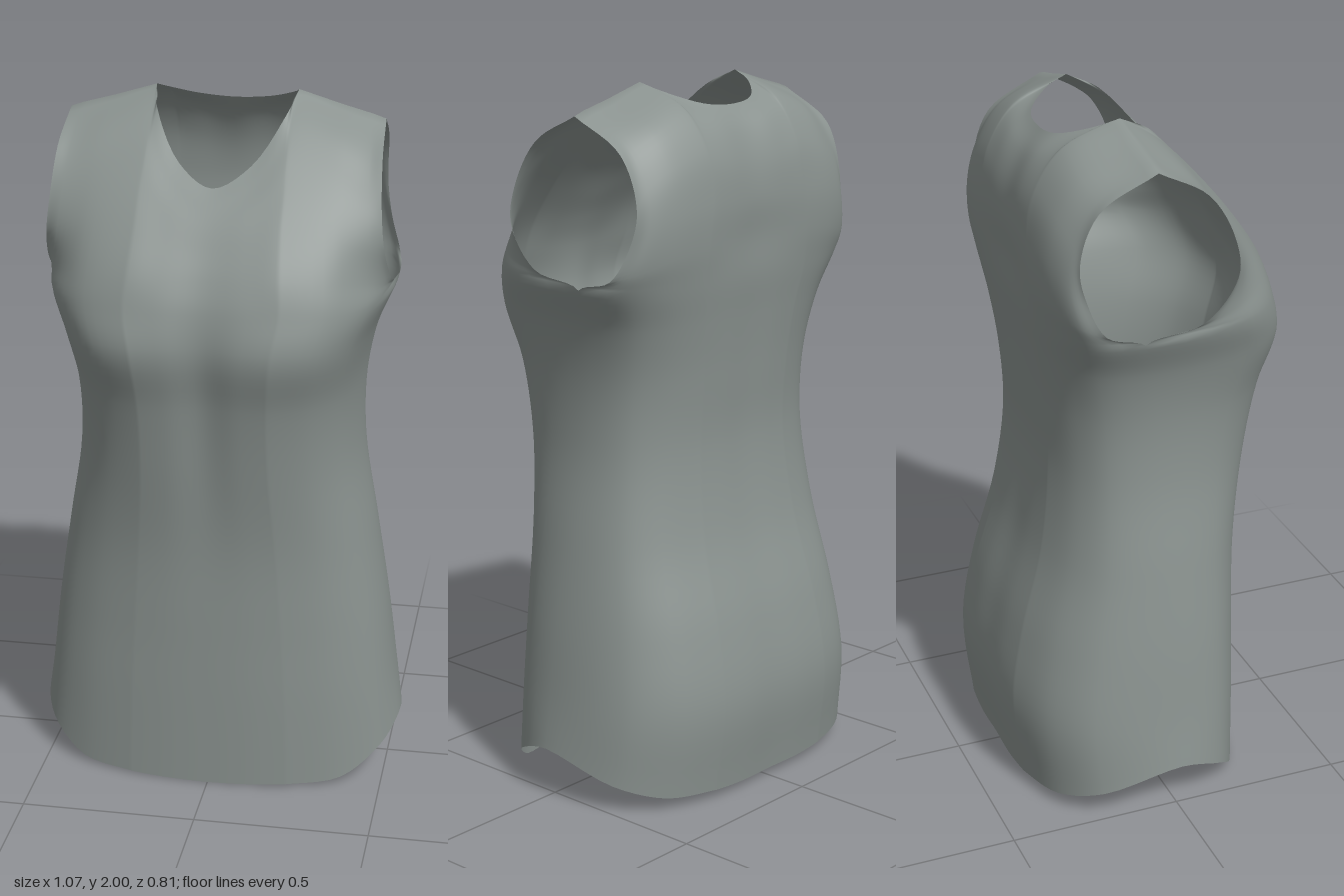
import * as THREE from 'three';
import { mergeVertices } from 'three/addons/utils/BufferGeometryUtils.js';

// Column positions from the centre line (0) to the side seam (1)
const F = [0, 0.225, 0.41, 0.45, 0.72, 0.92, 1];

// Body sections: y, half width, seam z, front z, front centre dip, back z, front and back squareness
const BODY = [
  [0.00, 0.535, 0.00, 0.285, 0.000, -0.388, 2.4, 2.8],
  [0.28, 0.515, 0.00, 0.290, 0.000, -0.416, 2.4, 2.8],
  [0.50, 0.488, 0.00, 0.293, 0.000, -0.382, 2.4, 2.7],
  [0.75, 0.450, -0.01, 0.308, 0.010, -0.312, 2.4, 2.6],
  [1.00, 0.410, -0.02, 0.355, 0.035, -0.280, 2.4, 2.6],
  [1.20, 0.408, -0.03, 0.392, 0.045, -0.290, 2.6, 2.6],
  [1.36, 0.437, -0.06, 0.427, 0.047, -0.305, 3.0, 2.8],
  [1.475, 0.485, -0.10, 0.398, 0.030, -0.318, 3.0, 3.0],
];
const HEM = {
  front: [0.005, 0.007, 0.01, 0.012, 0.025, 0.10, 0.15],
  back: [0.03, 0.03, 0.033, 0.035, 0.045, 0.085, 0.15],
};

// Yoke above the underarm: y, z up each column, ending at neckline or shoulder
const YOKE = {
  front: [
    [1.56, 0.335, 1.63, 0.295, 1.69, 0.257, 1.74, 0.218, 1.775, 0.185],
    [1.56, 0.345, 1.65, 0.290, 1.72, 0.240, 1.78, 0.187, 1.83, 0.140],
    [1.57, 0.345, 1.68, 0.275, 1.79, 0.187, 1.89, 0.095, 1.955, 0.030],
    [1.57, 0.342, 1.69, 0.265, 1.81, 0.168, 1.925, 0.055, 2.00, -0.060],
    [1.56, 0.295, 1.68, 0.235, 1.79, 0.158, 1.89, 0.070, 1.965, -0.055],
    [1.53, 0.190, 1.64, 0.200, 1.74, 0.166, 1.85, 0.090, 1.942, -0.050],
    [1.51, 0.070, 1.62, 0.170, 1.72, 0.165, 1.85, 0.092, 1.93, -0.050],
  ],
  back: [
    [1.58, -0.312, 1.69, -0.318, 1.79, -0.303, 1.87, -0.268, 1.935, -0.215],
    [1.58, -0.318, 1.69, -0.322, 1.80, -0.307, 1.89, -0.265, 1.945, -0.200],
    [1.58, -0.322, 1.70, -0.323, 1.82, -0.300, 1.92, -0.235, 1.980, -0.120],
    [1.58, -0.322, 1.70, -0.322, 1.83, -0.295, 1.94, -0.215, 2.00, -0.060],
    [1.56, -0.307, 1.68, -0.312, 1.80, -0.285, 1.90, -0.215, 1.965, -0.055],
    [1.53, -0.265, 1.64, -0.285, 1.75, -0.268, 1.86, -0.200, 1.942, -0.050],
    [1.51, -0.205, 1.60, -0.248, 1.70, -0.262, 1.84, -0.210, 1.93, -0.050],
  ],
};
const YOKE_X = { front: [0.482, 0.468, 0.458, 0.449, 0.442], back: [0.475, 0.445, 0.430, 0.435, 0.442] };

const ROW_STEPS = 6, COL_STEPS = 5;
const LOWER = (BODY.length - 1) * ROW_STEPS;
const TOP = LOWER + 5 * ROW_STEPS;

// Vertical guide curve for one column of the front or back
function columnCurve(side, k) {
  const f = F[k], front = side === 'front';
  const points = BODY.map(([y, w, seam, zf, dip, zb, nf, nb], i) => {
    const n = front ? nf : nb;
    const round = Math.pow(Math.max(0, 1 - Math.pow(f, n)), 1 / n);
    const groove = (front ? dip : -0.008) * Math.pow(Math.max(0, 1 - f / 0.6), 1.3);
    const z = seam + ((front ? zf : zb) - seam) * round - groove;
    return new THREE.Vector3(f * w, i === 0 ? HEM[side][k] : y, z);
  });
  const yoke = YOKE[side][k];
  YOKE_X[side].forEach((w, i) => points.push(new THREE.Vector3(f * w, yoke[2 * i], yoke[2 * i + 1])));
  return new THREE.CatmullRomCurve3(points);
}

const sample = (curve, count) => Array.from({ length: count + 1 }, (_, i) => curve.getPoint(i / count));
const mirror = (p) => new THREE.Vector3(-p.x, p.y, p.z);

// Straight shoulder seams on both sides of a curved neckline
function topEdge(p) {
  const out = [];
  for (let k = 0; k < 12; k++) {
    if (k === 3) out.push(...sample(new THREE.CatmullRomCurve3(p.slice(3, 10)), 6 * COL_STEPS).slice(0, -1));
    if (k >= 3 && k < 9) continue;
    for (let j = 0; j < COL_STEPS; j++) out.push(p[k].clone().lerp(p[k + 1], j / COL_STEPS));
  }
  out.push(p[12].clone());
  return out;
}

function garmentGeometry() {
  const columns = { front: F.map((_, k) => columnCurve('front', k)), back: F.map((_, k) => columnCurve('back', k)) };
  const half = 12 * COL_STEPS;
  const rows = { front: [], back: [] };
  for (let i = 0; i <= TOP; i++) {
    const at = (side) => columns[side].map((c) => c.getPoint(i / TOP));
    const f = at('front'), b = at('back');
    // Front runs from the left side to the right side, back returns
    const fp = [...f.slice().reverse(), ...f.slice(1).map(mirror)];
    const bp = [...b.slice().reverse().map(mirror), ...b.slice(1)];
    if (i <= LOWER) {
      const ring = sample(new THREE.CatmullRomCurve3([...fp, ...bp.slice(1, -1)], true), 2 * half);
      rows.front.push(ring.slice(0, half + 1));
      rows.back.push(ring.slice(half));
    } else if (i === TOP) {
      rows.front.push(topEdge(fp));
      rows.back.push(topEdge(bp));
    } else {
      rows.front.push(sample(new THREE.CatmullRomCurve3(fp), half));
      rows.back.push(sample(new THREE.CatmullRomCurve3(bp), half));
    }
  }
  const position = [], index = [];
  for (const panel of [rows.front, rows.back]) {
    const start = position.length / 3;
    panel.forEach((row) => row.forEach((p) => position.push(p.x, p.y, p.z)));
    for (let i = 0; i < TOP; i++) {
      for (let j = 0; j < half; j++) {
        const a = start + i * (half + 1) + j, c = a + half + 1;
        index.push(a, c, a + 1, a + 1, c, c + 1);
      }
    }
  }
  const geometry = new THREE.BufferGeometry();
  geometry.setAttribute('position', new THREE.Float32BufferAttribute(position, 3));
  geometry.setIndex(index);
  // Join side and shoulder seams so the cloth shades smoothly
  const joined = mergeVertices(geometry, 1e-4);
  joined.computeVertexNormals();
  return joined;
}

export function createModel() {
  const model = new THREE.Group();
  model.name = 'sleevelessTop';
  const cloth = new THREE.MeshStandardMaterial({ color: 0x8a928f, side: THREE.DoubleSide });
  cloth.name = 'greyCloth';
  const garment = new THREE.Mesh(garmentGeometry(), cloth);
  garment.name = 'garmentCloth';
  model.add(garment);
  return model;
}
